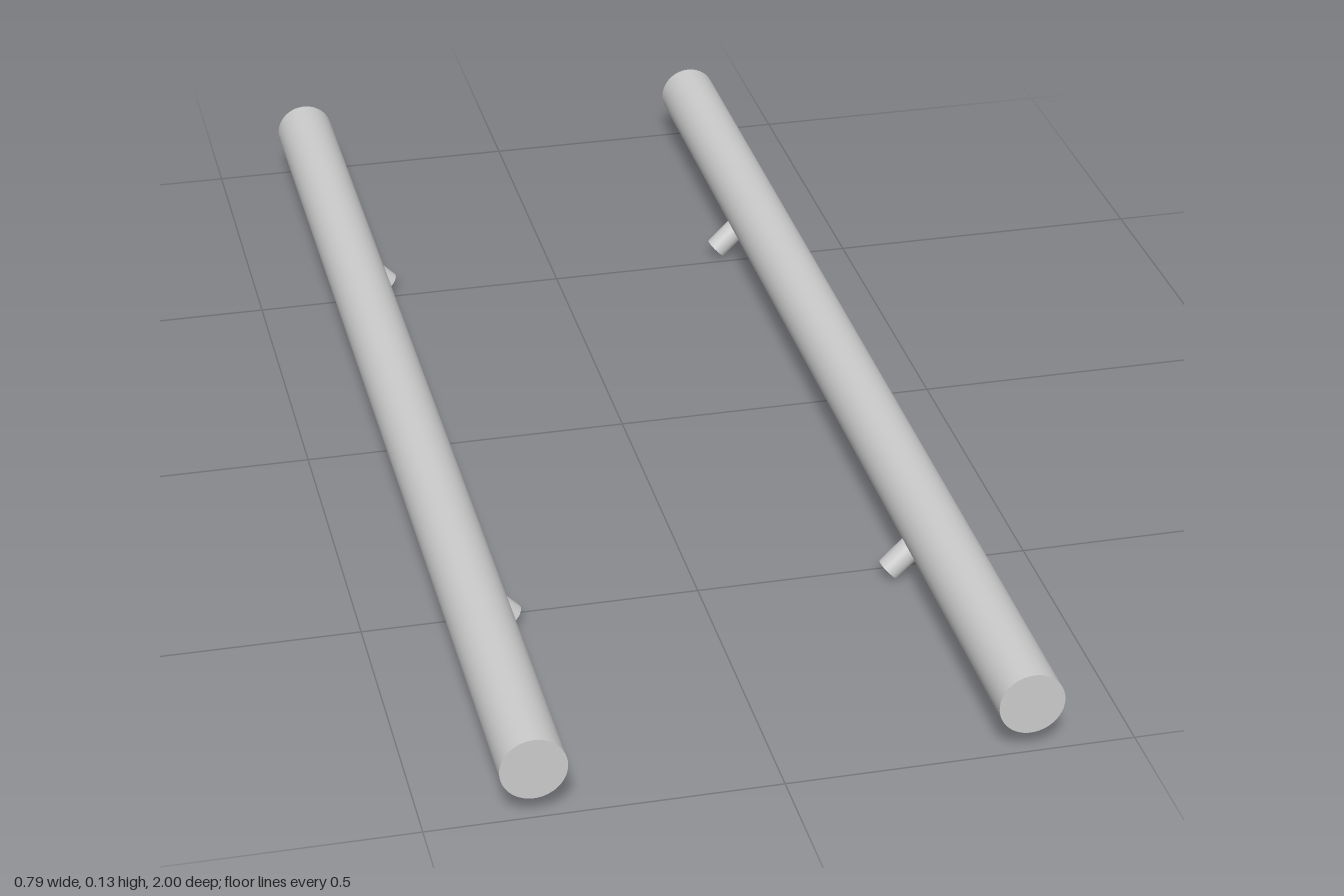
import * as THREE from 'three';

const RAIL = { x: 0.348, y: 0.078, radius: 0.047, length: 2 };
const PEG = { radius: 0.0185, reach: 0.092, z: 0.525 };

export function createModel() {
  const model = new THREE.Group();
  model.name = 'railPair';
  const material = new THREE.MeshStandardMaterial({ color: 0xcccccc });

  // Long round bar lying along z
  const railGeometry = new THREE.CylinderGeometry(RAIL.radius, RAIL.radius, RAIL.length, 64);
  railGeometry.rotateX(Math.PI / 2);

  // Short mounting peg, starting just inside the bar's surface
  const inner = RAIL.radius * 0.8;
  const pegGeometry = new THREE.CylinderGeometry(PEG.radius, PEG.radius, PEG.reach - inner, 32);
  pegGeometry.translate(0, -(PEG.reach + inner) / 2, 0);

  for (const side of [1, -1]) {
    const assembly = new THREE.Group();
    assembly.name = side > 0 ? 'leftRailAssembly' : 'rightRailAssembly';
    assembly.position.set(side * RAIL.x, RAIL.y, 0);

    const rail = new THREE.Mesh(railGeometry, material);
    rail.name = 'rail';
    assembly.add(rail);

    // Pegs slant 45 degrees down and inward
    for (const end of [1, -1]) {
      const peg = new THREE.Mesh(pegGeometry, material);
      peg.name = end > 0 ? 'frontPeg' : 'backPeg';
      peg.position.z = end * PEG.z;
      peg.rotation.z = -side * Math.PI / 4;
      assembly.add(peg);
    }
    model.add(assembly);
  }
  return model;
}
